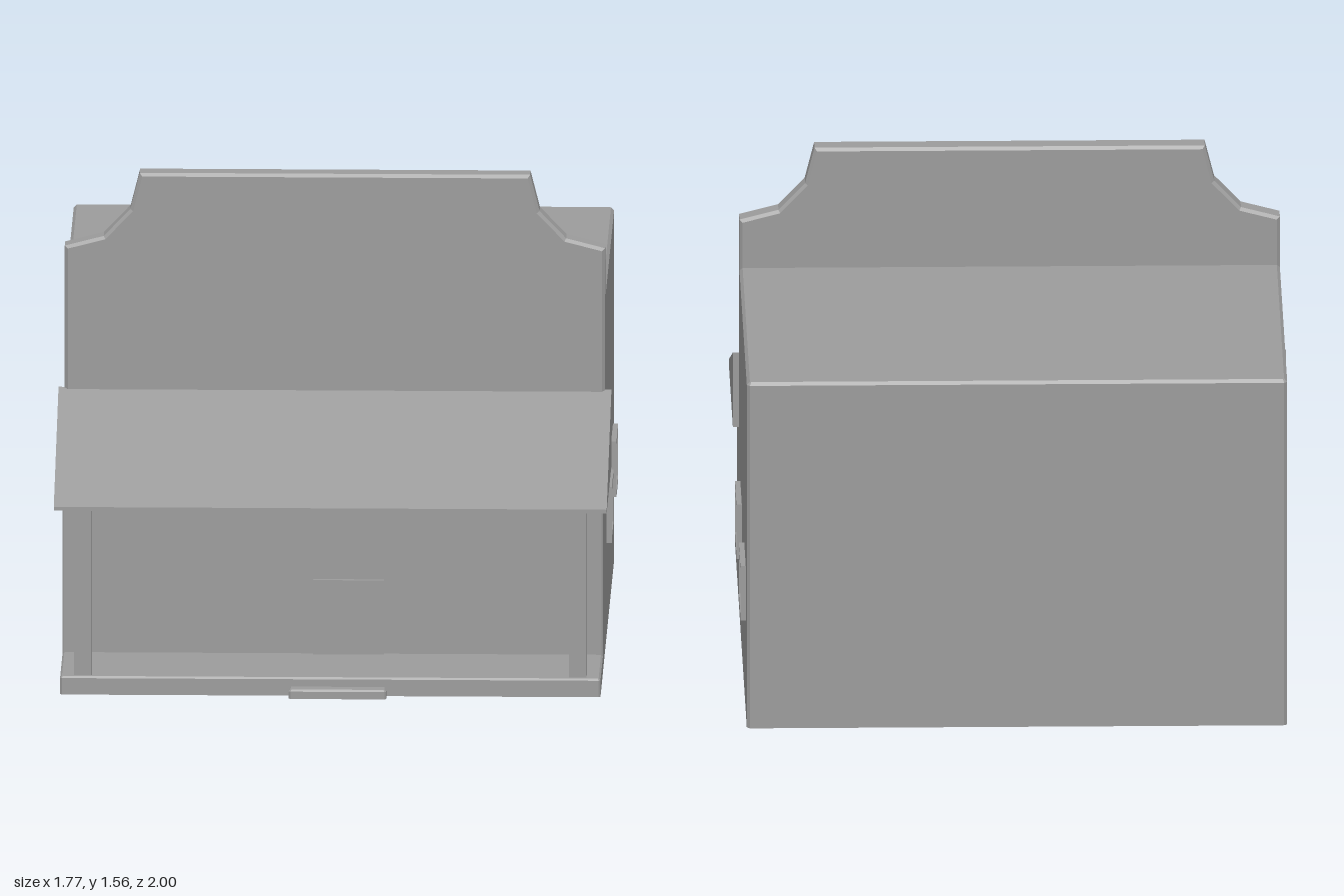
import * as THREE from 'three';

const wall = new THREE.MeshStandardMaterial({ color: 0x9c9c9c });
wall.name = 'plain grey';

function add(parent, name, geometry, x = 0, y = 0, z = 0) {
  const mesh = new THREE.Mesh(geometry, wall);
  mesh.name = name;
  mesh.position.set(x, y, z);
  parent.add(mesh);
  return mesh;
}

// Plain box given by its limits
function block(parent, name, x0, x1, y0, y1, z0, z1) {
  return add(parent, name, new THREE.BoxGeometry(x1 - x0, y1 - y0, z1 - z0),
    (x0 + x1) / 2, (y0 + y1) / 2, (z0 + z1) / 2);
}

// Box standing on the ground with chamfered upright and top edges and a flat base
function chamferedBlock(parent, name, x0, x1, height, z0, z1, c = 0.01) {
  const a = (x1 - x0) / 2 - c, b = (z1 - z0) / 2 - c, k = c * (Math.SQRT2 - 1);
  const outline = [
    [a - k, -b], [a, k - b], [a, b - k], [a - k, b],
    [k - a, b], [-a, b - k], [-a, k - b], [k - a, -b],
  ].map(([x, y]) => new THREE.Vector2(x, y));
  const geometry = new THREE.ExtrudeGeometry(new THREE.Shape(outline), {
    depth: height - c, bevelEnabled: true, bevelSegments: 1, bevelSize: c, bevelThickness: c,
  });
  geometry.rotateX(-Math.PI / 2);
  const p = geometry.attributes.position;
  for (let i = 0; i < p.count; i++) p.setY(i, Math.max(0, p.getY(i)));
  geometry.computeVertexNormals();
  return add(parent, name, geometry, (x0 + x1) / 2, 0, (z0 + z1) / 2);
}

// Stepped false front rising above the roof
function falseFront(parent) {
  const c = 0.01;
  const half = [[0.855, 0.55], [0.855, 1.312], [0.735, 1.343], [0.646, 1.436], [0.617, 1.55]];
  const outline = [...half, ...half.map(([x, y]) => [-x, y]).reverse()];
  const shape = new THREE.Shape(outline.map(([x, y]) => new THREE.Vector2(x, y)));
  const geometry = new THREE.ExtrudeGeometry(shape, {
    depth: 0.06, bevelEnabled: true, bevelSegments: 1, bevelSize: c, bevelThickness: c,
  });
  add(parent, 'falseFront', geometry, 0, 0, 0.223);
}

// Sloping wedge roof over the porch
function porchRoof(parent) {
  const shape = new THREE.Shape([[0.28, 0.605], [0.957, 0.605], [0.957, 0.617], [0.28, 0.855]]
    .map(([z, y]) => new THREE.Vector2(z, y)));
  const geometry = new THREE.ExtrudeGeometry(shape, { depth: 1.77, bevelEnabled: false });
  geometry.translate(0, 0, -0.885);
  geometry.rotateY(-Math.PI / 2);
  add(parent, 'porchRoof', geometry);
}

// Barred window on the left wall
function barredWindow(parent, z) {
  const group = new THREE.Group();
  group.name = 'barredWindow';
  const x0 = 0.86, x1 = 0.882, w = 0.125, y0 = 0.305, y1 = 0.488, t = 0.016;
  block(group, 'windowSill', x0, x1, y0, y0 + t, z - w, z + w);
  block(group, 'windowLintel', x0, x1, y1 - t, y1, z - w, z + w);
  for (const s of [-1, 1]) {
    const m = z + s * (w - t / 2);
    block(group, 'windowJamb', x0, x1, y0 + t, y1 - t, m - t / 2, m + t / 2);
  }
  const pitch = 2 * (w - t) / 6;
  for (let i = 1; i < 6; i++) {
    const m = z - w + t + i * pitch;
    block(group, 'windowBar', x0, x1 - 0.004, y0 + t, y1 - t, m - 0.005, m + 0.005);
  }
  parent.add(group);
}

export function createModel() {
  const model = new THREE.Group();
  model.name = 'frontierBuilding';

  // Main building and the room reaching under the porch roof
  chamferedBlock(model, 'mainBuilding', -0.865, 0.865, 1.16, -1, 0.27);
  chamferedBlock(model, 'frontRoom', -0.865, 0.865, 0.63, 0.1, 0.61, 0.004);
  falseFront(model);

  // Porch
  porchRoof(model);
  chamferedBlock(model, 'porchFloor', -0.865, 0.865, 0.06, 0.5, 0.953, 0.006);
  chamferedBlock(model, 'porchStep', -0.132, 0.18, 0.03, 0.9, 1, 0.006);
  for (const s of [-1, 1]) {
    block(model, 'porchPost', s * 0.792 - 0.028, s * 0.792 + 0.028, 0.055, 0.61, 0.88, 0.932);
  }

  // Door and windows
  block(model, 'door', -0.062, 0.165, 0.055, 0.304, 0.6, 0.625);
  for (const z of [-0.045, -0.695]) barredWindow(model, z);

  return model;
}
